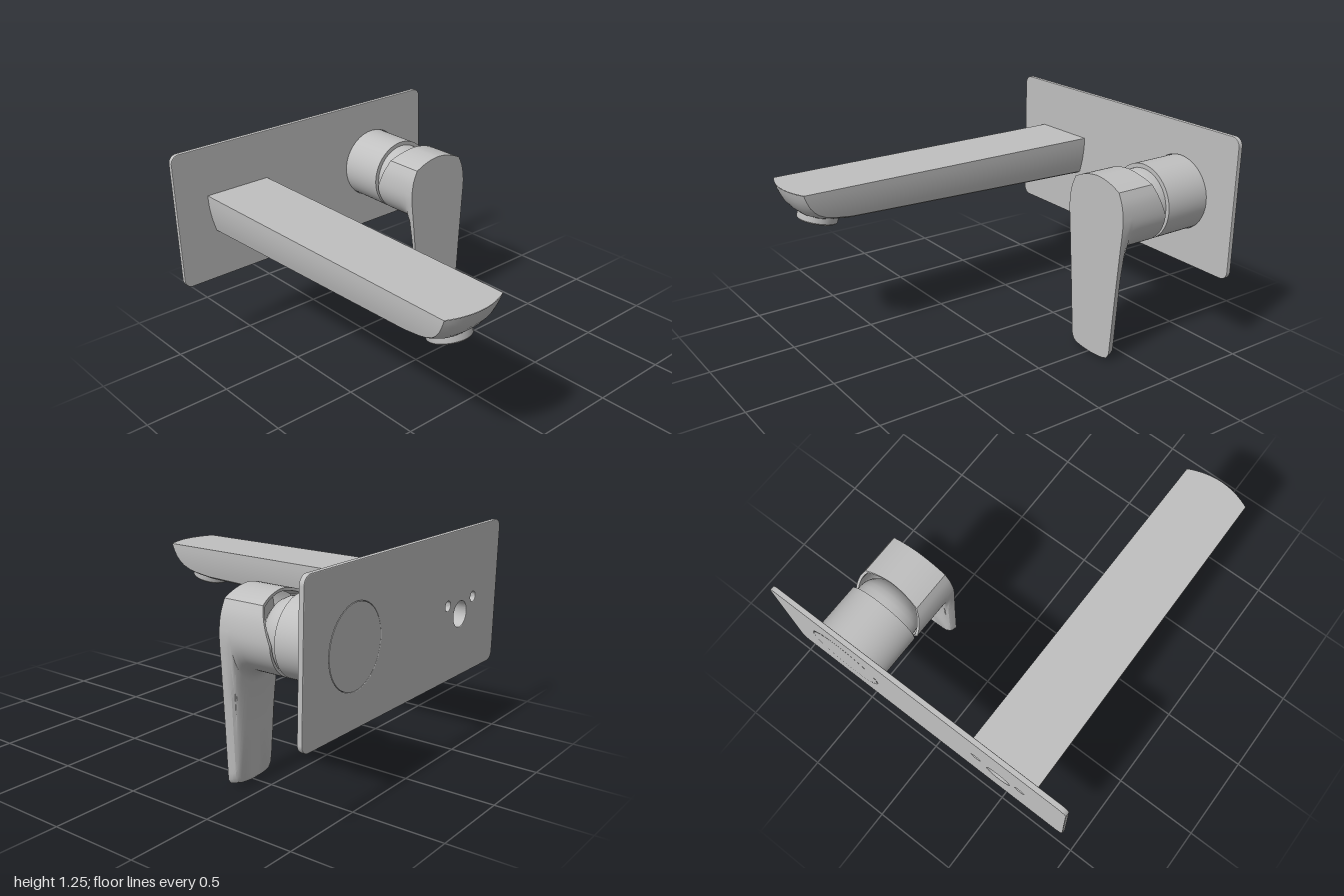
import * as THREE from 'three';
import { toCreasedNormals } from 'three/addons/utils/BufferGeometryUtils.js';

const SPOUT_X = -0.515, HANDLE_X = 0.513, AXIS_Y = 0.845;
const clamp = THREE.MathUtils.clamp, lerp = THREE.MathUtils.lerp;

// Skin over closed loops of [x, y, z], counterclockwise from the front, ordered front to back
function loft(loops, capCentre) {
  const n = loops[0].length, index = [];
  const pos = loops.flat(2);
  for (let r = 0; r < loops.length - 1; r++) {
    for (let i = 0; i < n; i++) {
      const j = (i + 1) % n, a = r * n, b = a + n;
      index.push(a + i, b + i, b + j, a + i, b + j, a + j);
    }
  }
  if (capCentre) {
    const c = pos.length / 3;
    pos.push(...capCentre);
    for (let i = 0; i < n; i++) index.push(c, i, (i + 1) % n);
  }
  const geo = new THREE.BufferGeometry();
  geo.setAttribute('position', new THREE.Float32BufferAttribute(pos, 3));
  geo.setIndex(index);
  return toCreasedNormals(geo, 0.55);
}

// Lathe whose profile [radius, height] is turned about its own y axis
function turned(profile, segments = 48) {
  const geo = new THREE.LatheGeometry(profile.map(p => new THREE.Vector2(...p)), segments);
  return toCreasedNormals(geo, 0.6);
}

function plateGeometry() {
  const x = 0.925, y0 = 0.435, y1 = 1.255, r = 0.05, s = new THREE.Shape();
  s.absarc(x - r, y1 - r, r, 0, Math.PI / 2);
  s.absarc(-x + r, y1 - r, r, Math.PI / 2, Math.PI);
  s.absarc(-x + r, y0 + r, r, Math.PI, Math.PI * 1.5);
  s.absarc(x - r, y0 + r, r, Math.PI * 1.5, Math.PI * 2);
  s.closePath();
  for (const [hx, hy, hr] of [[HANDLE_X, AXIS_Y, 0.217], ...HOLES]) {
    s.holes.push(new THREE.Path().absarc(hx, hy, hr, 0, Math.PI * 2, true));
  }
  const b = 0.004;
  const geo = new THREE.ExtrudeGeometry(s, {
    depth: 0.028 - 2 * b, bevelThickness: b, bevelSize: b, bevelOffset: -b, bevelSegments: 2, curveSegments: 20,
  });
  return geo.translate(0, 0, -1 + b);
}

// Water inlet and the two screw holes in the back of the plate
const HOLES = [[-0.505, 0.79, 0.072], [-0.365, 0.86, 0.028], [-0.645, 0.86, 0.028]];

function spoutGeometry() {
  const top = 0.965, M = 16, S = 6;
  // z, height of the lower side edge, depth of the rounded underside
  const stations = [[1, 0.964, 0], [0.992, 0.942, 0.005], [0.98, 0.918, 0.01], [0.96, 0.885, 0.015],
    [0.93, 0.855, 0.02], [0.9, 0.833, 0.024], [0.85, 0.812, 0.026], [0.8, 0.8, 0.028],
    [0.68, 0.785, 0.03], [0.3, 0.774, 0.03], [-0.975, 0.737, 0.03]];
  return loft(stations.map(([z, low, dip]) => {
    const wTop = lerp(0.205, 0.193, (z + 1) / 2);
    const width = y => wTop - 0.034 * ((top - y) / 0.22) ** 2;
    const sideY = k => lerp(top, low, k / S);
    const pts = [];
    for (let i = 0; i < M; i++) pts.push([wTop * (1 - 2 * i / M), top]);
    for (let k = 0; k < S; k++) pts.push([-width(sideY(k)), sideY(k)]);
    for (let i = 0; i < M; i++) {
      const u = 2 * i / M - 1;
      pts.push([width(low) * u, low - dip * (1 - u ** 4)]);
    }
    for (let k = S; k > 0; k--) pts.push([width(sideY(k)), sideY(k)]);
    // the lip bows forward in the middle
    const bow = 0.048 * clamp((z - 0.4) / 0.6, 0, 1);
    return pts.map(([x, y]) => [x, y, z - bow * (x / 0.193) ** 2]);
  }));
}

function handleGeometry() {
  const N = 28;
  const v = list => list.map(p => new THREE.Vector2(...p));
  const lever = new THREE.Path().setFromPoints(v([[0.218, AXIS_Y], [0.216, 0.8], [0.207, 0.7], [0.185, 0.43],
    [0.158, 0.07], [0.155, 0.045], [0.144, 0.027], [0.11, 0.015], [0.06, 0.008], [0, 0.005]])).getSpacedPoints(N);
  const crown = new THREE.SplineCurve(v([[0.218, AXIS_Y], [0.213, 0.9], [0.2, 0.955], [0.175, 1.01]])).getPoints(8)
    .concat(new THREE.SplineCurve(v([[0.175, 1.01], [0.12, 1.035], [0.055, 1.053], [0, 1.059]])).getPoints(8).slice(1));

  // t blends the long lever outline into the round hub, inset rounds off the lever's back
  const outline = (t, inset) => {
    const lower = lever.map((p, i) => {
      const a = (i / N) * Math.PI / 2, k = clamp((0.8 - p.y) / 0.3, 0, 1) * inset;
      const lx = p.x * (1 - k / 0.16), ly = p.y + (p.y < 0.1 ? k : 0);
      return [lerp(lx, 0.217 * Math.cos(a), t), lerp(ly, AXIS_Y - 0.215 * Math.sin(a), t)];
    });
    const half = [...lower.reverse(), ...crown.slice(1).map(p => [p.x, p.y])];
    return [...half, ...half.slice(1, -1).reverse().map(([x, y]) => [-x, y])];
  };
  const ring = (t, inset, z) => outline(t, inset).map(([x, y]) => [x, y, z]);
  // sloping cut at the back of the hub
  const cut = scale => outline(1, 0).map(([x, y]) =>
    [x * scale, AXIS_Y + (y - AXIS_Y) * scale, -0.665 + Math.max(0, y - 0.83) * 0.41]);
  const loops = [
    ring(0, 0, -0.355), ring(0, 0.006, -0.38), ring(0, 0.013, -0.396), ring(0, 0.026, -0.405),
    ring(0.45, 0.026, -0.414), ring(0.88, 0.02, -0.423), ring(0.93, 0.01, -0.432),
    ring(0.97, 0, -0.45), ring(1, 0, -0.485), cut(1), cut(0.93), ring(1, 0, -0.5).map(([x, y, z]) =>
      [x * 0.88, AXIS_Y + (y - AXIS_Y) * 0.88, z]),
  ];
  return loft(loops, [0, 0.6, -0.355]);
}

export function createModel() {
  const model = new THREE.Group();
  model.name = 'wallMountedTap';
  const metal = new THREE.MeshStandardMaterial({ color: 0xc0c0c0, side: THREE.DoubleSide });
  metal.name = 'satin grey metal';
  const add = (name, geo, x = 0, y = 0, z = 0, rx = 0) => {
    const mesh = new THREE.Mesh(geo, metal);
    mesh.name = name;
    mesh.position.set(x, y, z);
    mesh.rotation.x = rx;
    model.add(mesh);
  };

  add('wallPlate', plateGeometry());
  HOLES.forEach(([x, y, r], i) => add(i ? 'screwHole' : 'waterInlet',
    turned([[r, 0], [r, i ? 0.04 : 0.12], [0, i ? 0.04 : 0.12]], 24), x, y, -0.99, Math.PI / 2));

  // spout with its tilted outlet ring
  add('spout', spoutGeometry(), SPOUT_X);
  add('outletRing', turned([[0, 0.03], [0.085, 0.03], [0.085, 0.006], [0.093, 0], [0.108, 0], [0.115, 0.008],
    [0.118, 0.045], [0.118, 0.075]]), SPOUT_X, 0.737, 0.797, -0.24);

  // fixed collar, pivot dome and lever handle
  add('collar', turned([[0, 0], [0.215, 0], [0.215, 0.31], [0.185, 0.31]], 64), HANDLE_X, AXIS_Y, -1, Math.PI / 2);
  add('pivotDome', turned([[0.191, 0], [0.19, 0.05], [0.184, 0.08], [0.17, 0.11], [0.14, 0.14], [0.08, 0.165], [0, 0.173]]),
    HANDLE_X, AXIS_Y, -0.7, Math.PI / 2);
  add('leverHandle', handleGeometry(), HANDLE_X);
  return model;
}
